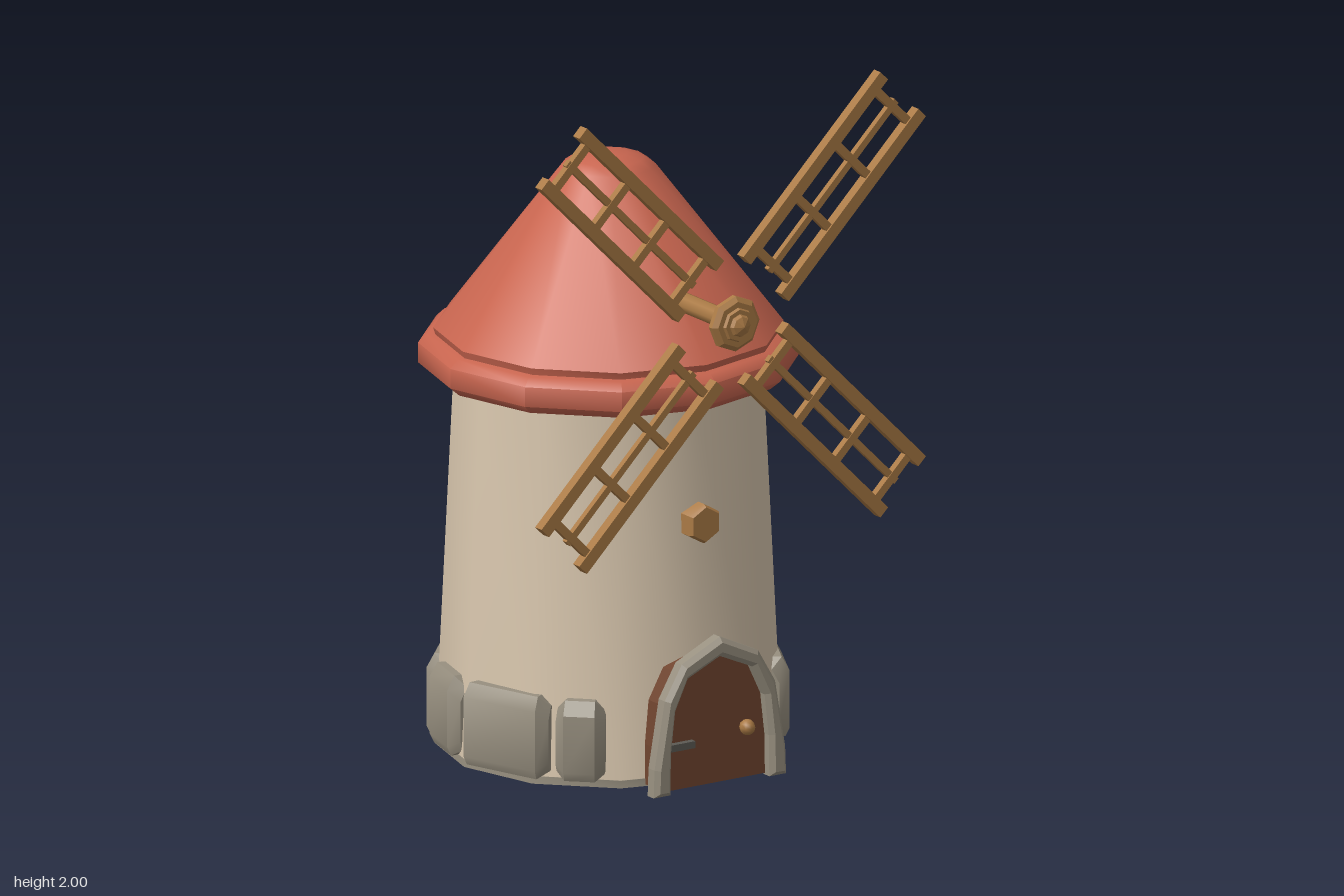
import * as THREE from 'three';
import { toCreasedNormals } from 'three/addons/utils/BufferGeometryUtils.js';

const CZ = -0.07; // tower axis
const HUB_Y = 1.357;

export function createModel() {
  const root = new THREE.Group();
  root.name = 'windmill';
  const mat = (name, color) => {
    const m = new THREE.MeshStandardMaterial({ color });
    m.name = name;
    return m;
  };
  const plaster = mat('plaster', 0xd9c7ae);
  const tile = mat('roofTile', 0xc8654f);
  const stone = mat('stone', 0x989080);
  const doorWood = mat('doorWood', 0x70452f);
  const oak = mat('oak', 0xaa7a45);
  const iron = mat('iron', 0x5c5a54);

  const add = (name, geo, material, x = 0, y = 0, z = 0, parent = root) => {
    const mesh = new THREE.Mesh(geo, material);
    mesh.name = name;
    mesh.position.set(x, y, z);
    parent.add(mesh);
    return mesh;
  };
  const lathe = (pts, sides, crease = 0.6) => toCreasedNormals(
    new THREE.LatheGeometry(pts.map(p => new THREE.Vector2(p[0], p[1])), sides), crease);

  // Tower and its base slab
  add('tower', lathe([[0.482, 0.02], [0.43, 1.1]], 12), plaster, 0, 0, CZ);
  add('baseSlab', lathe([[0, 0], [0.484, 0], [0.484, 0.022], [0.4, 0.022]], 12), stone, 0, 0, CZ);

  // Roof: rounded rim and blunt cone
  add('roofRim', lathe([[0.41, 1.078], [0.5, 1.078], [0.53, 1.103], [0.53, 1.16], [0.505, 1.183], [0.4, 1.183]], 12, 0.9),
    tile, 0, 0, CZ);
  add('roofCone', lathe([[0.4, 1.183], [0.482, 1.183], [0.488, 1.203], [0.132, 1.665], [0.1, 1.687], [0.055, 1.7], [0, 1.702]], 12, 0.7),
    tile, 0, 0, CZ);

  // Ring of chamfered foundation stones, angles in degrees from the front
  const stoneGeometry = (a0, a1, R, top) => {
    const steps = Math.max(1, Math.round((a1 - a0) / 27));
    const bevel = 3.5;
    const cols = [[a0, 1]];
    for (let i = 0; i <= steps; i++) cols.push([a0 + bevel + (a1 - a0 - 2 * bevel) * i / steps, 0]);
    cols.push([a1, 1]);
    const pos = [], idx = [], n = 6;
    for (const [deg, end] of cols) {
      const t = deg * Math.PI / 180;
      const r = R - 0.025 * end, lo = 0.02 + 0.02 * end, hi = top - 0.03 * end;
      const section = [[0.42, lo], [r - 0.012, lo], [r, lo + 0.025], [r, hi - 0.04], [r - 0.022, hi], [0.42, hi]];
      for (const [sr, sy] of section) pos.push(sr * Math.sin(t), sy, sr * Math.cos(t));
    }
    const last = (cols.length - 1) * n;
    for (let c = 0; c < cols.length - 1; c++) {
      for (let j = 0; j < n; j++) {
        const a = c * n + j, b = c * n + (j + 1) % n;
        idx.push(a, a + n, b + n, a, b + n, b);
      }
    }
    for (let j = 1; j < n - 1; j++) idx.push(0, j, j + 1, last, last + j + 1, last + j);
    const g = new THREE.BufferGeometry();
    g.setAttribute('position', new THREE.Float32BufferAttribute(pos, 3));
    g.setIndex(idx);
    return toCreasedNormals(g, 0.5);
  };
  const foundation = new THREE.Group();
  foundation.name = 'foundationStones';
  foundation.position.z = CZ;
  root.add(foundation);
  [[48, 101], [103, 127], [128, 155], [156, 173], [178, 211], [212, 242], [243, 267], [271, 306], [308, 325]]
    .forEach(([a, b], i) => add('foundationStone', stoneGeometry(a, b, i === 7 ? 0.515 : 0.505, 0.25 + 0.006 * (i % 2)),
      stone, 0, 0, 0, foundation));

  // Arched door, its stone surround, knob and hinge
  const archPoints = half => [...half, ...half.slice(0, -1).reverse().map(([x, y]) => [-x, y])]
    .map(p => new THREE.Vector2(...p));
  const outer = archPoints([[0.222, 0], [0.219, 0.08], [0.185, 0.275], [0.128, 0.372], [0, 0.432]]);
  const inner = archPoints([[0.166, 0], [0.164, 0.12], [0.15, 0.24], [0.108, 0.328], [0, 0.376]]);
  const surround = new THREE.Shape([...outer, ...inner.slice().reverse()]);
  add('doorSurround', new THREE.ExtrudeGeometry(surround, {
    depth: 0.03, bevelEnabled: true, bevelSize: 0.013, bevelOffset: -0.013, bevelThickness: 0.014, bevelSegments: 1,
  }), stone, 0, 0, 0.452);
  const panel = new THREE.Shape(archPoints([[0.172, 0.005], [0.17, 0.12], [0.156, 0.245], [0.112, 0.335], [0, 0.382]]));
  add('door', new THREE.ExtrudeGeometry(panel, { depth: 0.12, bevelEnabled: false }), doorWood, 0, 0, 0.34);
  add('doorKnob', new THREE.SphereGeometry(0.023, 8, 6), oak, 0.092, 0.155, 0.482);
  add('doorHinge', new THREE.BoxGeometry(0.085, 0.02, 0.024), iron, -0.122, 0.132, 0.467);

  // Small hexagonal window boss
  const boss = add('windowBoss', lathe([[0, 0], [0.057, 0], [0.057, 0.08], [0.05, 0.092], [0, 0.092]], 6, 0.5),
    oak, 0, 0.74, 0.323);
  boss.rotation.x = Math.PI / 2;

  // Axle and octagonal hub
  const axle = add('axle', new THREE.CylinderGeometry(0.029, 0.029, 0.3, 8), oak, 0, HUB_Y, 0.405);
  axle.rotation.x = Math.PI / 2;
  const hub = add('hub', lathe([[0, -0.02], [0.06, -0.02], [0.08, 0], [0.08, 0.015], [0.066, 0.027], [0.05, 0.027],
    [0.046, 0.036], [0.033, 0.036], [0.028, 0.048], [0, 0.06]], 8, 0.3), oak, 0, HUB_Y, 0.545);
  hub.rotation.x = Math.PI / 2;

  // Four lattice sails
  for (let k = 0; k < 4; k++) {
    const sail = new THREE.Group();
    sail.name = 'sail';
    sail.position.set(0, HUB_Y, 0.535);
    sail.rotation.z = Math.PI / 4 + k * Math.PI / 2;
    root.add(sail);
    for (const s of [-1, 1]) add('sailRail', new THREE.BoxGeometry(0.036, 0.65, 0.032), oak, s * 0.09, 0.479, 0, sail);
    add('sailCentreBar', new THREE.BoxGeometry(0.02, 0.6, 0.018), oak, 0, 0.479, 0, sail);
    for (const y of [0.2, 0.385, 0.57, 0.76]) {
      add('sailRung', new THREE.BoxGeometry(0.17, 0.024, 0.022), oak, 0, y, 0, sail);
    }
  }
  return root;
}
